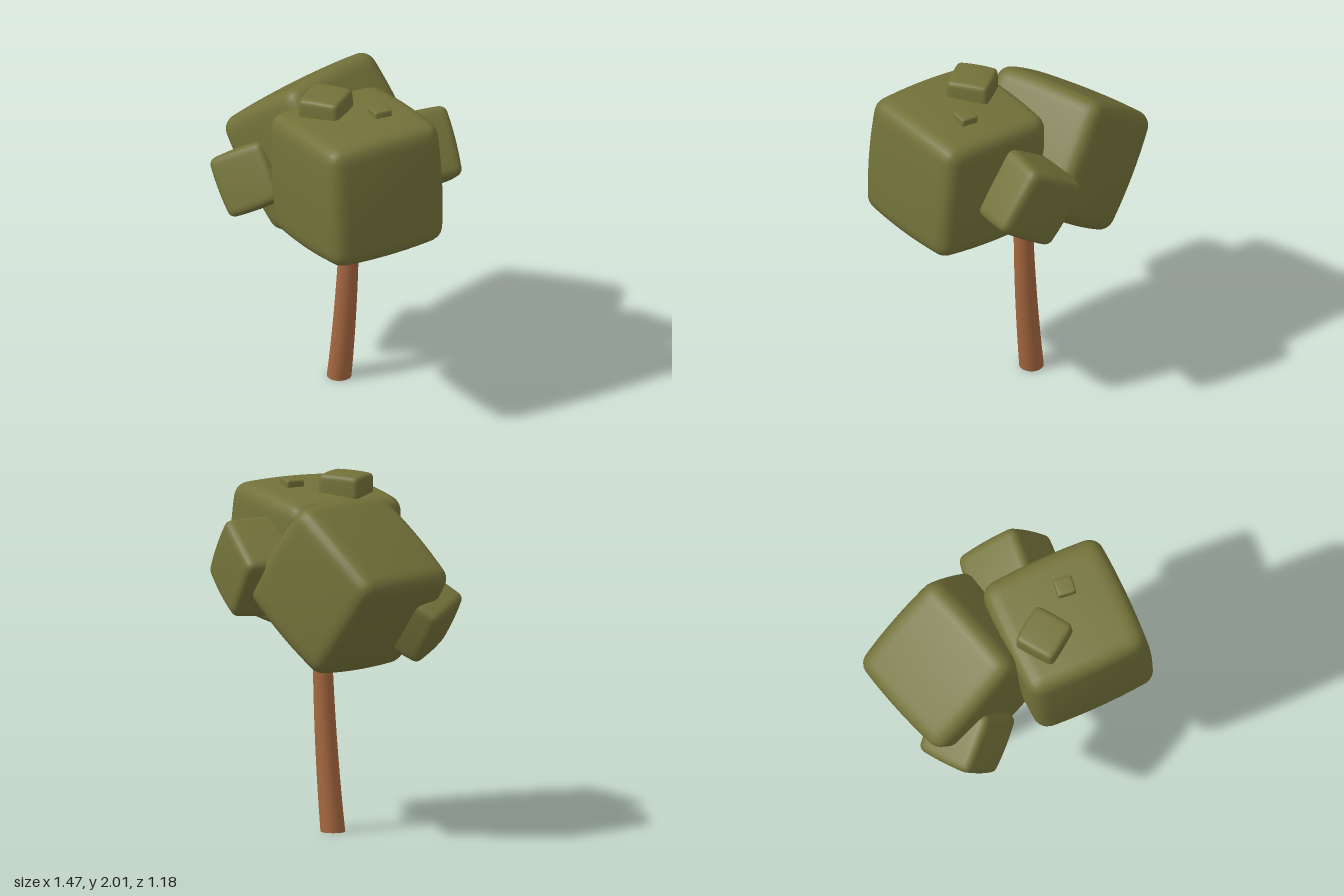
import * as THREE from 'three';
import { mergeVertices } from 'three/addons/utils/BufferGeometryUtils.js';

// Unit half-size cube with rounded edges and gently bulging faces, smooth normals
function softCube() {
  const N = 22, round = 0.2, bulge = 0.08;
  let g = new THREE.BoxGeometry(2, 2, 2, N, N, N);
  g.deleteAttribute('normal');
  g.deleteAttribute('uv');
  g = mergeVertices(g, 1e-4);
  const p = g.attributes.position;
  const v = new THREE.Vector3(), inner = new THREE.Vector3();
  const lim = new THREE.Vector3().setScalar(1 - round);
  const low = lim.clone().negate();
  for (let i = 0; i < p.count; i++) {
    v.fromBufferAttribute(p, i);
    inner.copy(v).clamp(low, lim);
    v.sub(inner).setLength(round).add(inner);
    const x = 1 - v.x * v.x, y = 1 - v.y * v.y, z = 1 - v.z * v.z;
    p.setXYZ(i,
      v.x * (1 + bulge * (y + z) / 2),
      v.y * (1 + bulge * (x + z) / 2),
      v.z * (1 + bulge * (x + y) / 2));
  }
  g.computeVertexNormals();
  return g;
}

// Tapered trunk that leans in from the base and straightens upward
function trunkGeometry() {
  const height = 1.35;
  const g = new THREE.CylinderGeometry(0.05, 0.07, height, 24, 12);
  g.translate(0, height / 2, 0);
  const p = g.attributes.position;
  for (let i = 0; i < p.count; i++) {
    const t = 1 - p.getY(i) / height;
    p.setX(i, p.getX(i) - 0.09 + 0.085 * (1 - t * t));
  }
  g.computeVertexNormals();
  return g;
}

export function createModel() {
  const model = new THREE.Group();
  model.name = 'blockTree';
  const leaf = new THREE.MeshStandardMaterial({ color: 0x73723a });
  leaf.name = 'olive foliage';
  const bark = new THREE.MeshStandardMaterial({ color: 0xa5673f });
  bark.name = 'brown bark';

  const trunk = new THREE.Mesh(trunkGeometry(), bark);
  trunk.name = 'trunk';
  trunk.position.z = -0.11;
  model.add(trunk);

  // Foliage blocks: name, half size, position, rotation
  const cube = softCube();
  const blocks = [
    ['largeLeftFoliage', 0.355, [0.285, 1.53, 0.147], [0, -0.28, 0.085]],
    ['largeRightFoliage', 0.345, [-0.258, 1.43, -0.155], [0, 0, 0.66]],
    ['frontFoliage', 0.172, [-0.475, 1.255, 0.16], [-0.3, 0.26, 0.63]],
    ['backFoliage', 0.2, [0.275, 1.5, -0.315], [0, -0.38, 0.61]],
    ['topFoliage', 0.117, [0.08, 1.877, 0.18], [0, 0.33, 0.05]],
    ['topBud', 0.051, [0.357, 1.902, 0.032], [0, -0.4, 0.05]],
  ];
  for (const [name, half, pos, rot] of blocks) {
    const m = new THREE.Mesh(cube, leaf);
    m.name = name;
    m.scale.setScalar(half);
    m.position.set(...pos);
    m.rotation.set(...rot);
    model.add(m);
  }
  return model;
}
